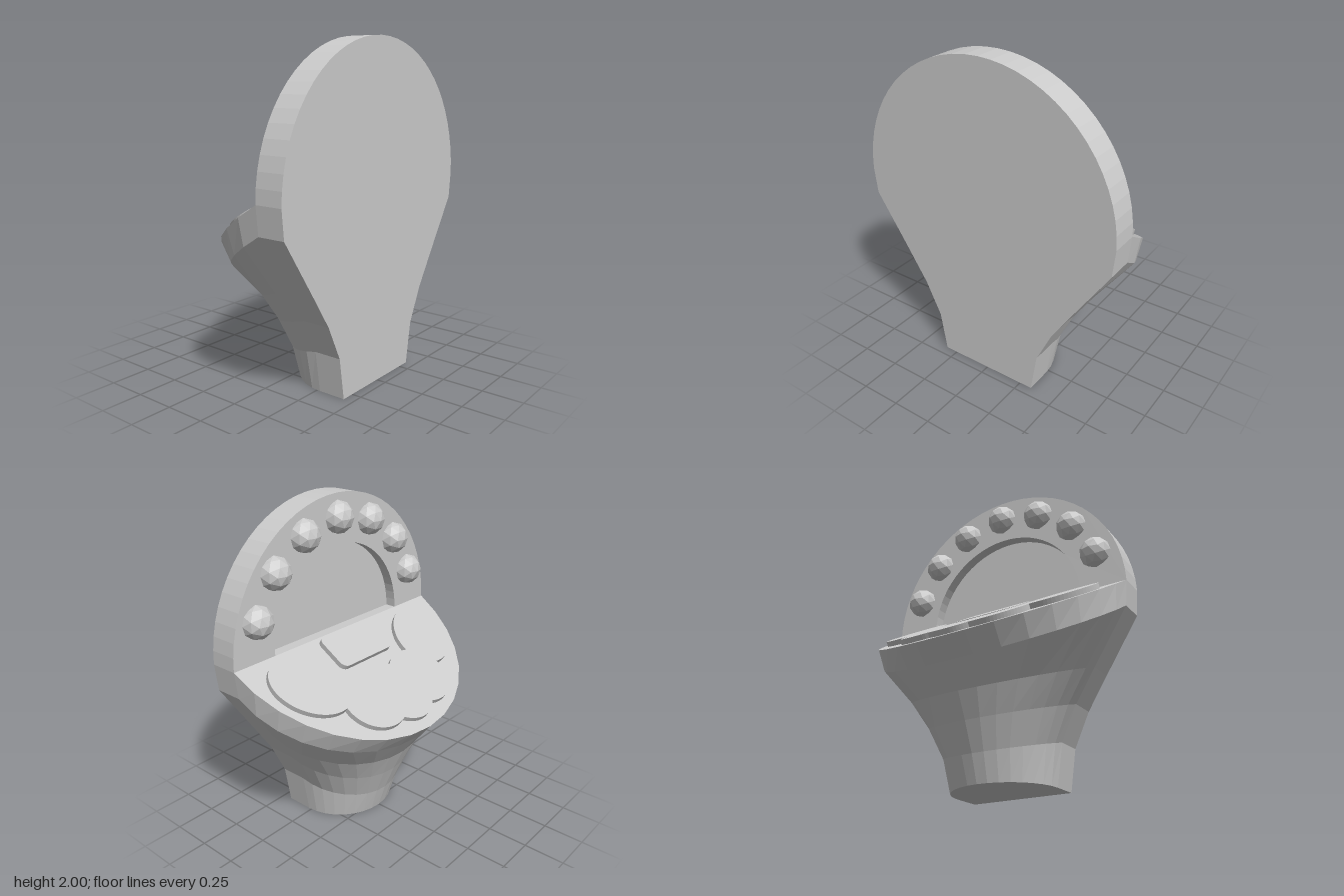
import * as THREE from 'three';

const FACE = 0.27, BACK = 0.44, SEAT_Y = 1.16, RADIUS = 0.84;
const TILT = Math.atan2(0.43, 0.71);
const material = new THREE.MeshStandardMaterial({ color: 0xcccccc, flatShading: true });

function add(parent, name, geometry) {
  const mesh = new THREE.Mesh(geometry, material);
  mesh.name = name;
  parent.add(mesh);
  return mesh;
}

// Flared half-round pedestal: D-shaped rings that tilt and widen upwards
function pedestalGeometry() {
  // height at the back, forward reach, half width, drop at the front tip
  const rings = [
    [0, 0.32, 0.33, 0],
    [0.25, 0.37, 0.37, 0.09],
    [0.46, 0.44, 0.47, 0.13],
    [0.66, 0.51, 0.6, 0.18],
    [0.996, 0.615, 0.823, 0.375],
    [SEAT_Y, 0.71, RADIUS, 0.43],
  ];
  const steps = 16, n = steps + 3;
  const pos = [], index = [];
  for (const [y, reach, half, drop] of rings) {
    pos.push(BACK, y, half);
    for (let i = 0; i <= steps; i++) {
      const t = Math.PI * (0.5 - i / steps);
      pos.push(FACE - reach * Math.cos(t), y - drop * Math.cos(t), half * Math.sin(t));
    }
    pos.push(BACK, y, -half);
  }
  for (let r = 0; r < rings.length - 1; r++) {
    for (let i = 0; i < n; i++) {
      const a = r * n + i, b = r * n + (i + 1) % n;
      index.push(a, a + n, b, b, a + n, b + n);
    }
  }
  // bottom and top caps
  const low = pos.length / 3, high = low + 1, last = (rings.length - 1) * n;
  pos.push(FACE, 0, 0, FACE, SEAT_Y, 0);
  for (let i = 0; i < n; i++) {
    const j = (i + 1) % n;
    index.push(low, i, j, high, last + j, last + i);
  }
  const g = new THREE.BufferGeometry();
  g.setAttribute('position', new THREE.Float32BufferAttribute(pos, 3));
  g.setIndex(index);
  const flat = g.toNonIndexed();
  flat.computeVertexNormals();
  return flat;
}

// Upright slab part between two x positions; inner radius 0 gives a solid half disc
function slabGeometry(x0, x1, inner) {
  const s = new THREE.Shape();
  s.absarc(0, 0, RADIUS, 0, Math.PI, false);
  if (inner) s.absarc(0, 0, inner, Math.PI, 0, true);
  s.closePath();
  const g = new THREE.ExtrudeGeometry(s, { depth: x1 - x0, bevelEnabled: false, curveSegments: 16 });
  return g.rotateY(Math.PI / 2).translate(x0, SEAT_Y, 0);
}

function ellipseShape(u, v, ru, rv, angle) {
  const s = new THREE.Shape();
  s.absellipse(u, v, ru, rv, 0, Math.PI * 2, false, angle);
  return s;
}

function roundedRect(u, v, w, h, r) {
  const s = new THREE.Shape(), x = w / 2 - r, y = h / 2 - r;
  s.absarc(u + x, v + y, r, 0, Math.PI / 2);
  s.absarc(u - x, v + y, r, Math.PI / 2, Math.PI);
  s.absarc(u - x, v - y, r, Math.PI, Math.PI * 1.5);
  s.absarc(u + x, v - y, r, Math.PI * 1.5, Math.PI * 2);
  s.closePath();
  return s;
}

export function createModel() {
  const model = new THREE.Group();
  model.name = 'pedestalWithArchedBack';

  add(model, 'pedestal', pedestalGeometry());

  // Arched back with a shallow recess
  const recess = FACE + 0.07;
  add(model, 'archRim', slabGeometry(FACE, recess, 0.54));
  add(model, 'backPanel', slabGeometry(recess, BACK, 0));

  // Seven faceted balls around the arch
  for (let i = 0; i < 7; i++) {
    const a = THREE.MathUtils.degToRad(20 + i * 140 / 6);
    const ball = add(model, 'archBall', new THREE.IcosahedronGeometry(0.1, 1));
    ball.position.set(FACE, SEAT_Y + 0.7 * Math.sin(a), 0.7 * Math.cos(a));
  }

  // Raised shapes on the sloping top
  const top = new THREE.Group();
  top.name = 'slopingTop';
  top.position.set(FACE, SEAT_Y, 0);
  top.rotation.z = TILT;
  model.add(top);
  const raise = (name, shape) => add(top, name,
    new THREE.ExtrudeGeometry(shape, { depth: 0.032, bevelEnabled: false, curveSegments: 32 })
      .rotateX(-Math.PI / 2));

  for (const side of [1, -1]) {
    raise('outerPetal', ellipseShape(-0.275, side * 0.51, 0.25, 0.2, side * Math.PI / 4));
    raise('innerPetal', ellipseShape(-0.525, side * 0.215, 0.2, 0.21, 0));
  }
  raise('frontPetal', ellipseShape(-0.56, 0, 0.205, 0.2, 0));
  raise('plate', roundedRect(-0.145, 0, 0.245, 0.45, 0.045));

  return model;
}
